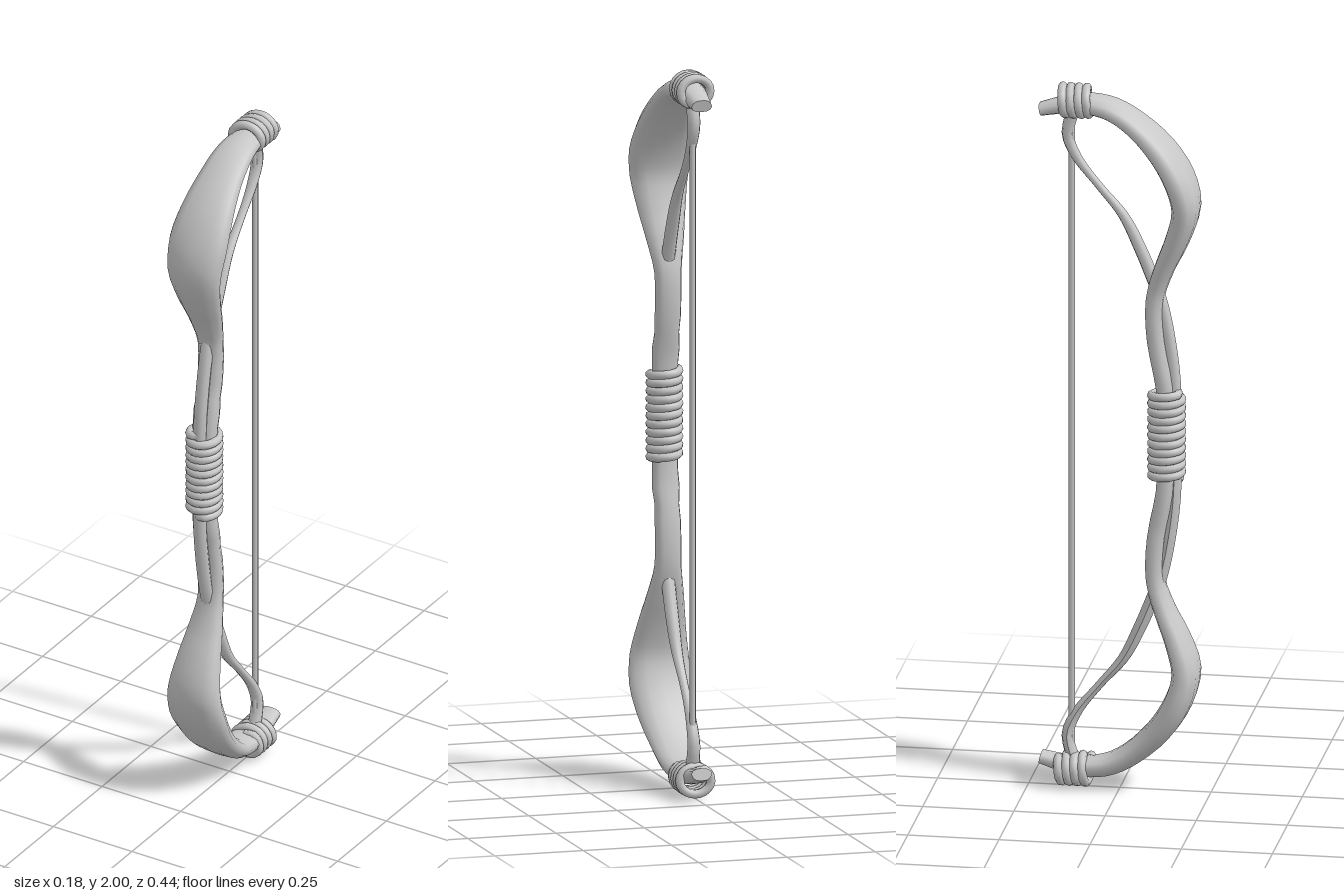
import * as THREE from 'three';

const grey = new THREE.MeshStandardMaterial({ color: 0xc8c8c8, side: THREE.DoubleSide });
grey.name = 'plain grey';

const v = (x, y, z) => new THREE.Vector3(x, y, z);

function part(name, geometry) {
  const mesh = new THREE.Mesh(geometry, grey);
  mesh.name = name;
  return mesh;
}

// Each station of the upper limb: y, z, half width, thickness
const LIMB = [
  [0.99, 0.13, 0.036, 0.05], [1.15, 0.124, 0.037, 0.05], [1.28, 0.1, 0.037, 0.05],
  [1.4, 0.097, 0.038, 0.05], [1.49, 0.124, 0.053, 0.055], [1.57, 0.158, 0.068, 0.065],
  [1.66, 0.182, 0.083, 0.074], [1.74, 0.163, 0.09, 0.075], [1.82, 0.115, 0.081, 0.07],
  [1.89, 0.045, 0.066, 0.06], [1.93, -0.02, 0.057, 0.055], [1.943, -0.08, 0.048, 0.052],
  [1.94, -0.14, 0.038, 0.045], [1.922, -0.217, 0.029, 0.034],
];

// Cross-section as fractions of half width and thickness, front side rounded
const SECTION = [
  [0, 0.5], [0.55, 0.46], [0.87, 0.24], [1, -0.05], [0.85, -0.32], [0.5, -0.46],
  [0, -0.5], [-0.5, -0.46], [-0.85, -0.32], [-1, -0.05], [-0.87, 0.24], [-0.55, 0.46],
];

function limbGeometry() {
  const path = new THREE.CatmullRomCurve3(LIMB.map(([y, z]) => v(0, y, z)));
  const size = new THREE.CatmullRomCurve3(LIMB.map(([, , w, t]) => v(w, t, 0)));
  const rows = 39, n = SECTION.length, pos = [], index = [];
  for (let i = 0; i <= rows; i++) {
    const c = path.getPoint(i / rows), s = size.getPoint(i / rows);
    const normal = v(1, 0, 0).cross(path.getTangent(i / rows));
    for (const [a, b] of SECTION) {
      const p = c.clone().addScaledVector(normal, b * s.y);
      pos.push(p.x + a * s.x, p.y, p.z);
    }
  }
  for (let i = 0; i < rows; i++) {
    for (let j = 0; j < n; j++) {
      const a = i * n + j, b = i * n + (j + 1) % n;
      index.push(a, a + n, b, b, a + n, b + n);
    }
  }
  // flat cap with its own vertices at the tip
  const last = rows * n, cap = pos.length / 3;
  pos.push(...pos.slice(last * 3));
  for (let j = 1; j < n - 1; j++) index.push(cap, cap + j + 1, cap + j);
  const g = new THREE.BufferGeometry();
  g.setAttribute('position', new THREE.Float32BufferAttribute(pos, 3));
  g.setIndex(index);
  g.computeVertexNormals();
  return g;
}

// Coiled cord around the y axis, its ends tucked inwards
function coil(turns, length, rx, rz, cord) {
  const pts = [], steps = turns * 10;
  for (let i = 0; i <= steps; i++) {
    const a = (i / 10) * Math.PI * 2;
    const k = i === 0 || i === steps ? 0.75 : 1;
    pts.push(v(Math.sin(a) * rx * k, (i / steps - 0.5) * length, Math.cos(a) * rz * k));
  }
  return new THREE.TubeGeometry(new THREE.CatmullRomCurve3(pts), steps * 2, cord, 8);
}

function createHalf() {
  const half = new THREE.Group();
  half.add(part('limb', limbGeometry()));

  // Thin branch that weaves through the limb from the grip to the string
  const branch = new THREE.CatmullRomCurve3([
    [1.0, 0.15], [1.15, 0.15], [1.27, 0.137], [1.39, 0.113], [1.46, 0.088], [1.54, 0.055],
    [1.63, 0.01], [1.71, -0.056], [1.79, -0.118], [1.85, -0.143], [1.89, -0.138], [1.94, -0.12],
  ].map(([y, z]) => v(0, y, z)));
  const branchGeometry = new THREE.TubeGeometry(branch, 48, 0.017, 8);
  // slimmer in the middle, fuller near the string
  const p = branchGeometry.attributes.position;
  for (let i = 0; i < p.count; i++) {
    const t = Math.floor(i / 9) / 48, c = branch.getPointAt(t);
    const k = 1.05 - 0.4 * Math.exp(-(((t - 0.75) / 0.13) ** 2));
    p.setXYZ(i, p.getX(i) * k * 1.1, c.y + (p.getY(i) - c.y) * k, c.z + (p.getZ(i) - c.z) * k);
  }
  branchGeometry.computeVertexNormals();
  half.add(part('branch', branchGeometry));

  // Lashing around the tip
  const lashing = part('tipLashing', coil(4, 0.088, 0.043, 0.037, 0.0125));
  lashing.rotation.x = Math.PI / 2;
  lashing.position.set(0, 1.9505, -0.124);
  half.add(lashing);
  return half;
}

export function createModel() {
  const bow = new THREE.Group();
  bow.name = 'bow';

  const upper = createHalf();
  upper.name = 'upperHalf';
  const lower = upper.clone();
  lower.name = 'lowerHalf';
  lower.rotation.z = Math.PI;
  lower.position.y = 2;
  bow.add(upper, lower);

  // Wrapped grip
  const grip = part('gripWrap', coil(11, 0.25, 0.039, 0.041, 0.0125));
  grip.position.set(0, 1.01, 0.128);
  bow.add(grip);

  // Bowstring
  const string = part('string', new THREE.CylinderGeometry(0.009, 0.009, 1.78, 8));
  string.position.set(0, 1, -0.132);
  bow.add(string);

  return bow;
}
